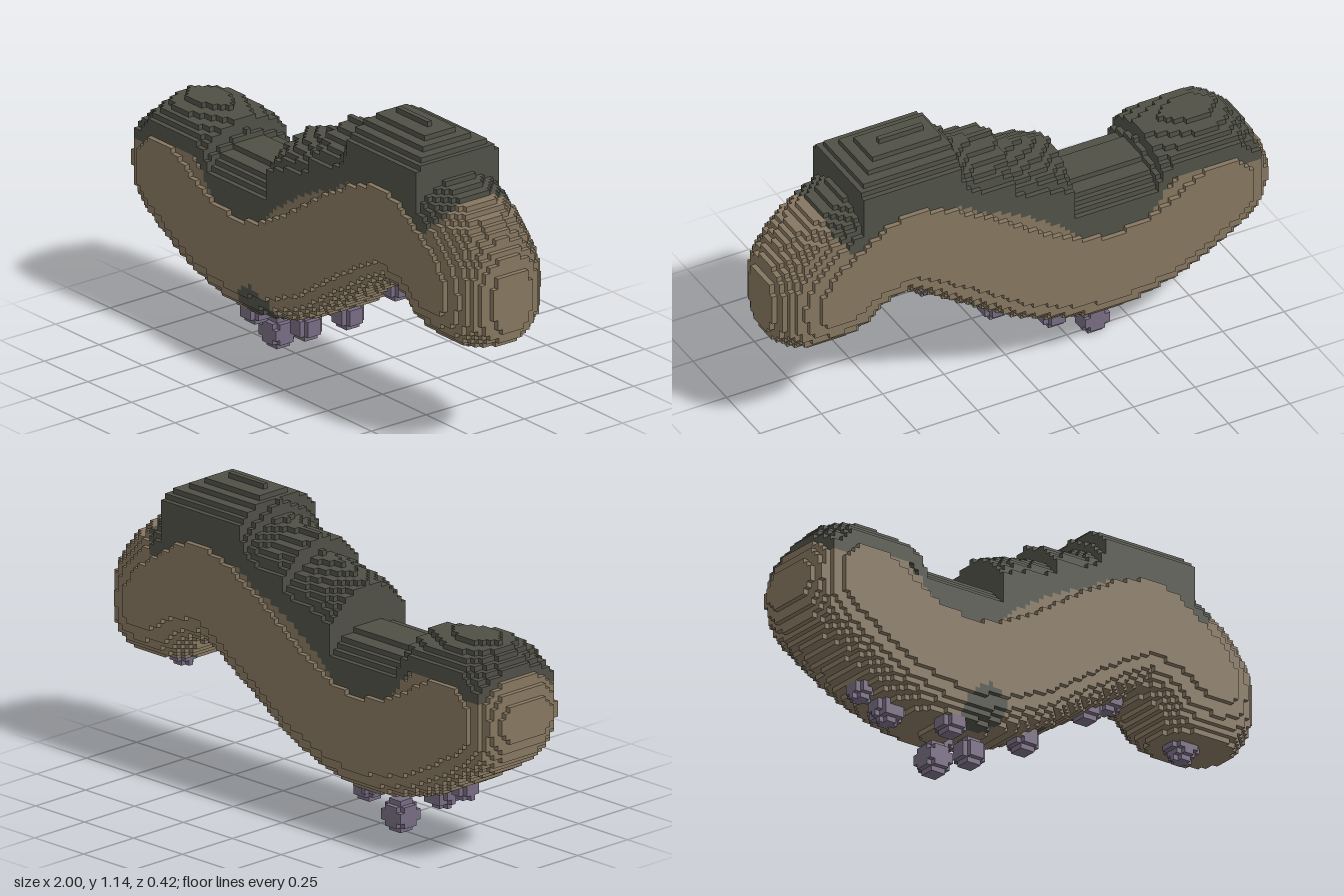
import * as THREE from 'three';

const S = 0.02, NX = 100, NY = 57, NZ = 21;   // voxel size and grid

const tan = new THREE.MeshStandardMaterial({ color: 0x857660 });
tan.name = 'tan';
const darkMoss = new THREE.MeshStandardMaterial({ color: 0x4f5046 });
darkMoss.name = 'dark moss';
const mauve = new THREE.MeshStandardMaterial({ color: 0x776c82 });
mauve.name = 'mauve';

// Centre line of the bent sausage body
const spine = new THREE.CatmullRomCurve3([
  [-0.765, 0.57], [-0.55, 0.45], [-0.32, 0.405], [-0.1, 0.46], [0.1, 0.58],
  [0.3, 0.705], [0.45, 0.775], [0.6, 0.755], [0.72, 0.69], [0.765, 0.635],
].map(([x, y]) => new THREE.Vector3(x, y, 0))).getPoints(80);

// Upper outline of the crust, and the line where it meets the body
const crustTop = [
  [-0.94, 0.76], [-0.86, 0.83], [-0.8, 0.845], [-0.7, 0.845], [-0.55, 0.82], [-0.52, 0.745],
  [-0.18, 0.745], [-0.175, 0.89], [-0.1, 0.92], [0.05, 0.95], [0.06, 1.01], [0.2, 1.02],
  [0.26, 1.05], [0.27, 1.09], [0.36, 1.135], [0.5, 1.135], [0.6, 1.105], [0.68, 1.05],
  [0.685, 0.95], [0.74, 0.92], [0.78, 0.9],
];
const crustBase = [
  [-0.94, 0.65], [-0.7, 0.71], [-0.58, 0.7], [-0.5, 0.58], [-0.35, 0.53], [-0.2, 0.56],
  [-0.1, 0.66], [0.05, 0.76], [0.2, 0.82], [0.28, 0.87], [0.45, 0.91], [0.6, 0.87],
  [0.66, 0.82], [0.73, 0.82], [0.78, 0.9],
];

// Ball growths below: x, y, z, radius
const balls = [
  [-0.35, 0.06, 0, 0.06], [-0.35, 0.165, 0.1, 0.048], [-0.27, 0.18, -0.07, 0.045],
  [-0.19, 0.13, 0, 0.056], [-0.56, 0.2, 0, 0.06], [-0.68, 0.245, 0, 0.05],
  [0.05, 0.25, 0, 0.055], [0.33, 0.445, 0, 0.052], [0.42, 0.515, 0, 0.056], [0.76, 0.415, 0, 0.055],
];

// Mossy spots on the underside: x, y, z, radius
const mossSpots = [[-0.25, 0.22, 0.16, 0.1], [0.1, 0.29, 0, 0.06]];

function lerpLine(points, x) {
  for (let i = 1; i < points.length; i++) {
    const [x0, y0] = points[i - 1], [x1, y1] = points[i];
    if (x >= x0 && x <= x1) return y0 + (y1 - y0) * (x - x0) / (x1 - x0);
  }
  return Infinity;
}

// Distance from the spine, with the bend webbed and the right end squared off below
function bodyDistance(x, y) {
  if (x > 0.6 && y < 0.43) return Infinity;
  if (x > 0.765 && y < 0.635) return ((x - 0.765) ** 4 + (0.635 - y) ** 4) ** 0.25;
  const d = Math.min(...spine.map(p => Math.hypot(p.x - x, p.y - y)));
  const inWeb = Math.abs(x - 0.53) < 0.09 && y > 0.56 && y < 0.77;
  return inWeb ? Math.min(d, 0.21) : d;
}

// Half depth of the crust: a blocky terraced hill, flatter ridges elsewhere
function crustHalfDepth(x, y) {
  const top = lerpLine(crustTop, x);
  if (y > top) return -1;
  const hill = x > 0.27 && x < 0.68;
  const drop = !hill && x > -0.18 ? 0.15 : 0.1;
  const rise = Math.max(0, (y - (hill ? 1.135 : top) + drop) / drop);
  return 0.185 * (1 - rise ** (hill ? 1.5 : 2.5));
}

const inBall = (x, y, z) => ([bx, by, bz, r]) => Math.hypot(x - bx, y - by, z - bz) < r;

// Fill the grid: 1 body, 2 crust, 3 moss spots, 4 and up are the balls
function fillGrid() {
  const grid = new Uint8Array(NX * NY * NZ);
  for (let i = 0; i < NX; i++) for (let j = 0; j < NY; j++) {
    const x = -1 + (i + 0.5) * S, y = (j + 0.5) * S;
    const d = bodyDistance(x, y), base = lerpLine(crustBase, x), crust = crustHalfDepth(x, y);
    const power = 3.5 - 1.1 * THREE.MathUtils.smoothstep(x, 0.5, 0.75);
    for (let k = 0; k < NZ; k++) {
      const z = (k - 10) * S, az = Math.abs(z), hit = inBall(x, y, z);
      const ball = balls.findIndex(hit);
      let id = ball < 0 ? 0 : 4 + ball;
      if ((d / 0.237) ** power + (az / 0.21) ** power < 1) {
        id = mossSpots.some(hit) ? 3 : 1;
        if (y > base && az < 0.19) id = 2;
      }
      if (y > base && az <= crust) id = 2;
      grid[(i * NY + j) * NZ + k] = id;
    }
  }
  return grid;
}

// Outer faces of all voxels with one id
function voxelSurface(grid, id) {
  const size = [NX, NY, NZ], origin = [-1, 0, -NZ * S / 2], pos = [];
  const at = c => c.some((v, a) => v < 0 || v >= size[a]) ? 0 : grid[(c[0] * NY + c[1]) * NZ + c[2]];
  const corners = [[0, 0], [1, 0], [1, 1], [0, 0], [1, 1], [0, 1]];
  for (let i = 0; i < NX; i++) for (let j = 0; j < NY; j++) for (let k = 0; k < NZ; k++) {
    const c = [i, j, k];
    if (at(c) !== id) continue;
    for (let a = 0; a < 3; a++) for (const side of [0, 1]) {
      const n = c.slice();
      n[a] += side ? 1 : -1;
      if (at(n)) continue;
      const u = (a + 1) % 3, v = (a + 2) % 3;
      for (const [p, q] of corners) {
        const w = c.slice();
        w[a] += side;
        w[u] += side ? p : q;
        w[v] += side ? q : p;
        pos.push(...w.map((t, m) => origin[m] + t * S));
      }
    }
  }
  const g = new THREE.BufferGeometry();
  g.setAttribute('position', new THREE.Float32BufferAttribute(pos, 3));
  g.computeVertexNormals();
  return g;
}

export function createModel() {
  const model = new THREE.Group();
  model.name = 'bentVoxelBody';
  const grid = fillGrid();
  const add = (parent, id, name, material) => {
    const mesh = new THREE.Mesh(voxelSurface(grid, id), material);
    mesh.name = name;
    parent.add(mesh);
  };
  add(model, 1, 'body', tan);
  add(model, 2, 'topCrust', darkMoss);
  add(model, 3, 'undersideMoss', darkMoss);
  const growths = new THREE.Group();
  growths.name = 'undersideGrowths';
  balls.forEach((b, n) => add(growths, 4 + n, 'growth' + (n + 1), mauve));
  model.add(growths);
  return model;
}
